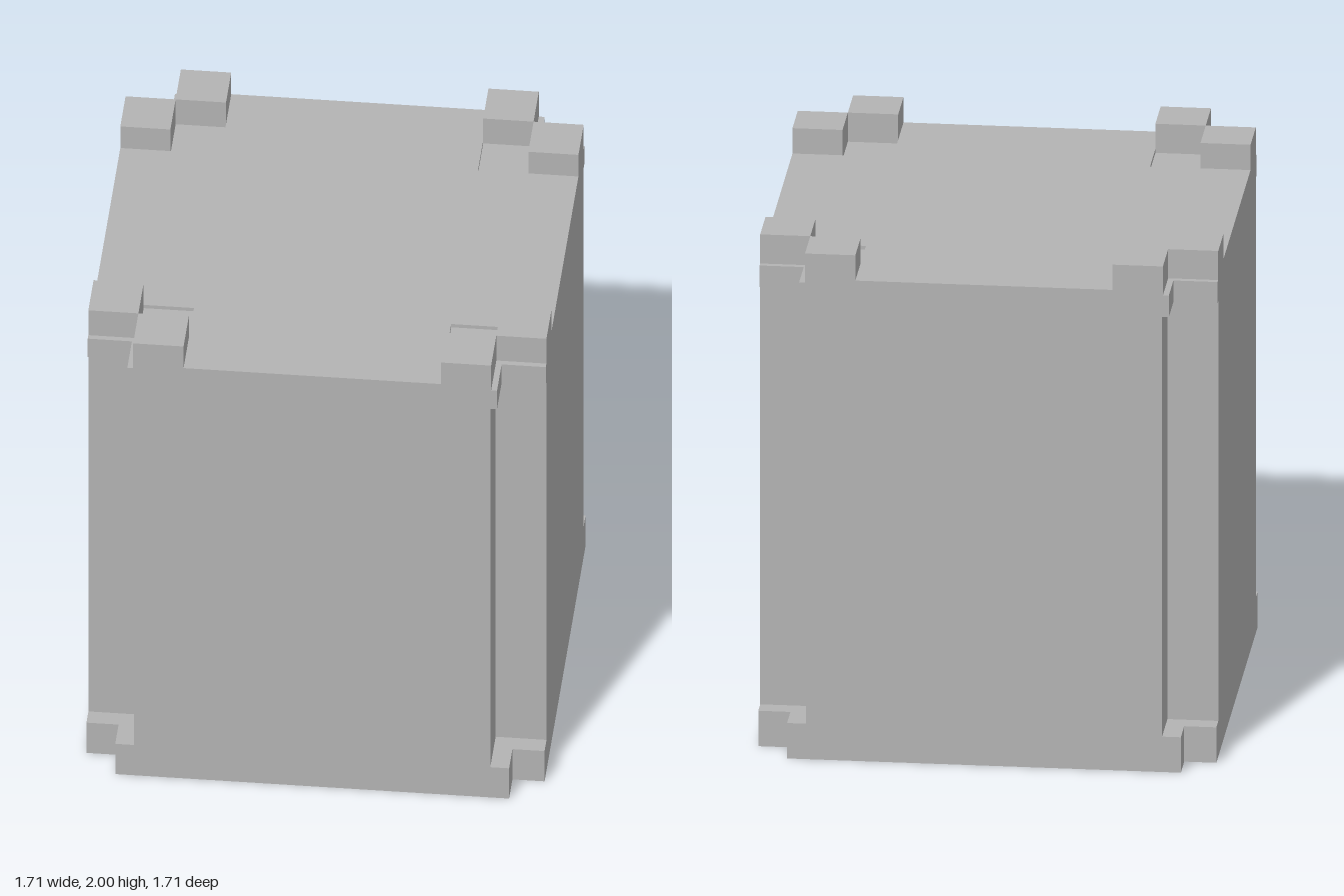
import * as THREE from 'three';

const HALF = 0.855; // half width of the whole crate

export function createModel() {
  const group = new THREE.Group();
  const grey = new THREE.MeshStandardMaterial({ color: 0xb3b3b3 });
  grey.name = 'grey';

  const add = (name, geometry) => {
    const mesh = new THREE.Mesh(geometry, grey);
    mesh.name = name;
    group.add(mesh);
    return mesh;
  };

  // Square layer with its four corners cut back to n, from y0 to y1
  const layer = (name, n, y0, y1) => {
    const h = HALF;
    const outline = [
      [n, -h], [n, -n], [h, -n], [h, n], [n, n], [n, h],
      [-n, h], [-n, n], [-h, n], [-h, -n], [-n, -n], [-n, -h],
    ];
    const shape = new THREE.Shape(outline.map(([x, y]) => new THREE.Vector2(x, y)));
    const geometry = new THREE.ExtrudeGeometry(shape, { depth: y1 - y0, bevelEnabled: false });
    geometry.rotateX(-Math.PI / 2).translate(0, y0, 0);
    add(name, geometry);
  };

  const box = (name, w, h, d, x, y, z) =>
    add(name, new THREE.BoxGeometry(w, h, d).translate(x, y, z));

  // Stacked body
  layer('basePlate', 0.735, 0.135, 0.14);
  layer('body', 0.665, 0.14, 1.8);
  layer('collar', 0.69, 1.8, 1.885);
  layer('lid', 0.48, 1.885, 1.9);

  // Pairs of stacking blocks beside each corner
  const inner = 0.48, mid = 0.668;
  const a = (inner + mid) / 2, b = (mid + HALF) / 2;
  for (const sx of [-1, 1]) {
    for (const sz of [-1, 1]) {
      box('stackingBlock', mid - inner, 0.115, HALF - mid, sx * a, 1.9425, sz * b);
      box('stackingBlock', HALF - mid, 0.115, mid - inner, sx * b, 1.9425, sz * a);
    }
  }

  // Thin skirt, inner walls and cross ribs under the hollow base
  const t = 0.005, height = 0.137;
  const wall = (name, offset, length) => {
    box(name, length, height, t, 0, height / 2, offset);
    box(name, t, height, length, offset, height / 2, 0);
  };
  for (const s of [-1, 1]) {
    wall('baseSkirt', s * (HALF - t / 2), 2 * 0.735);
    wall('baseInnerWall', s * (0.735 - t / 2), 2 * HALF);
  }
  wall('crossRib', 0, 2 * HALF);

  return group;
}
